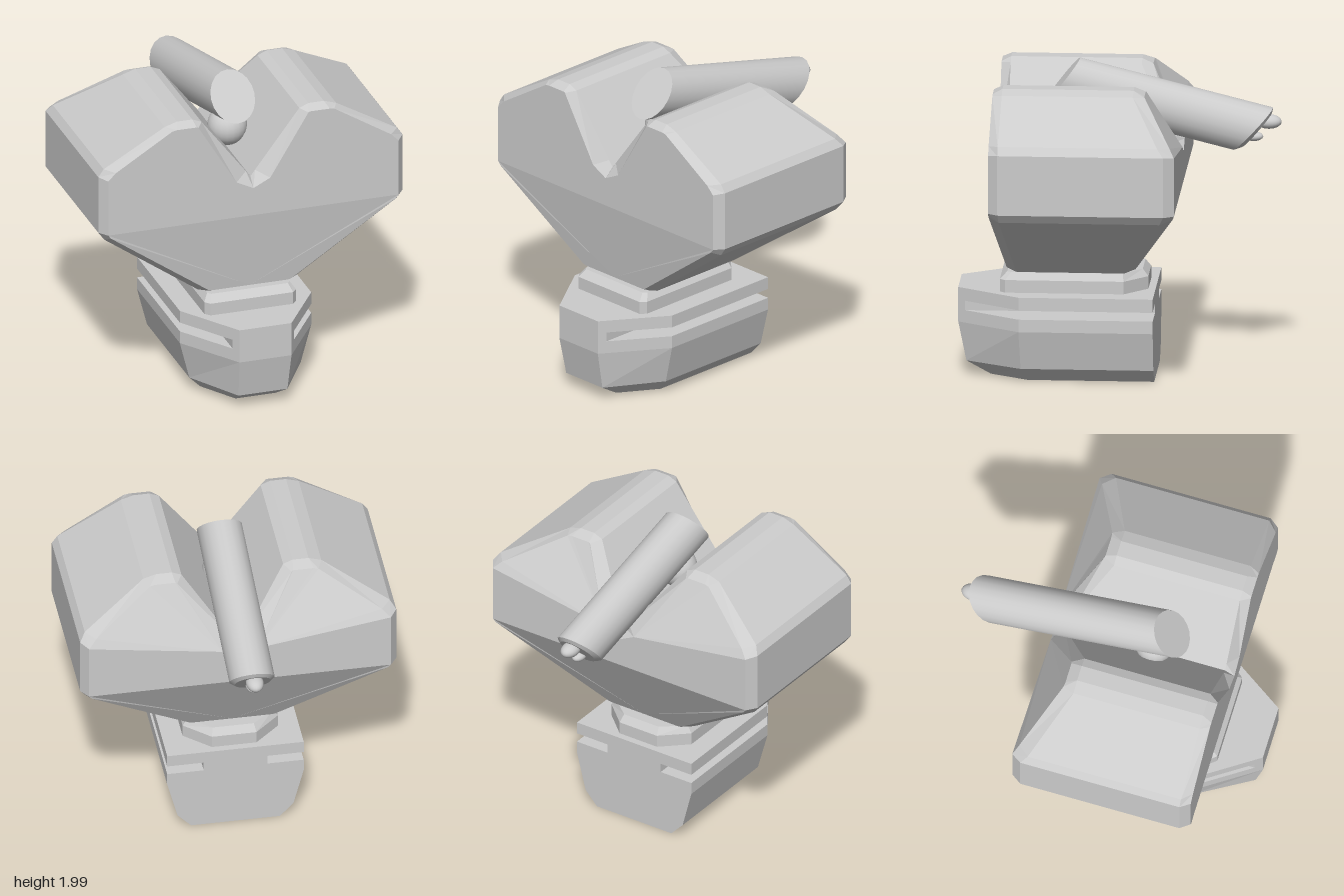
import * as THREE from 'three';
import { toCreasedNormals } from 'three/addons/utils/BufferGeometryUtils.js';

const material = new THREE.MeshStandardMaterial({ color: 0xcccccc });

function addMesh(parent, name, geometry) {
  const mesh = new THREE.Mesh(geometry, material);
  mesh.name = name;
  parent.add(mesh);
  return mesh;
}

// Flat-faced geometry from a list of triangles
function fromTriangles(tris) {
  const g = new THREE.BufferGeometry();
  g.setAttribute('position', new THREE.Float32BufferAttribute(tris.flat(2), 3));
  g.computeVertexNormals();
  return g;
}

// Skin a stack of convex rings (counter-clockwise seen from the last one) and cap both ends
function loft(rings) {
  const tris = [];
  const n = rings[0].length;
  for (let i = 0; i < rings.length - 1; i++) {
    for (let j = 0; j < n; j++) {
      const k = (j + 1) % n;
      const a = rings[i][j], b = rings[i][k], c = rings[i + 1][k], d = rings[i + 1][j];
      tris.push([a, b, c], [a, c, d]);
    }
  }
  const first = rings[0], last = rings[rings.length - 1];
  for (let j = 1; j < n - 1; j++) {
    tris.push([first[0], first[j + 1], first[j]], [last[0], last[j], last[j + 1]]);
  }
  return fromTriangles(tris);
}

// Symmetric horizontal ring at height y from right-hand [x, z] points listed front to back
function planRing(y, half) {
  const right = half.map(([x, z]) => [x, y, z]);
  const left = half.map(([x, z]) => [-x, y, z]).reverse();
  return [...right, ...left];
}

// Piecewise-linear lookup through [y, z] stops
function lookup(stops, y) {
  for (let i = 1; i < stops.length; i++) {
    const [y0, z0] = stops[i - 1], [y1, z1] = stops[i];
    if (y <= y1) return z0 + (z1 - z0) * Math.max(0, (y - y0) / (y1 - y0));
  }
  return stops[stops.length - 1][1];
}

// Notched head: bevelled front and back faces around a half outline, mirrored
function headGeometry() {
  const outer = [[0, 0.68], [0.25, 0.68], [0.32, 0.7], [0.955, 1.165], [0.995, 1.22], [0.995, 1.6],
    [0.96, 1.65], [0.56, 1.88], [0.48, 1.905], [0.38, 1.905], [0.32, 1.88], [0.03, 1.5], [0, 1.46]];
  // the last inset point lies on the centre line, at the fold of the faces
  const inset = [[0, 0.71], [0.25, 0.71], [0.27, 0.715], [0.93, 1.195], [0.95, 1.22], [0.95, 1.59],
    [0.9, 1.64], [0.53, 1.87], [0.5, 1.875], [0.37, 1.875], [0.36, 1.87], [0.11, 1.46], [0, 1.405], [0, 1.22]];
  const frontZ = [[0.7, 0.69], [1.2, 0.765]];
  const backZ = [[0.7, -0.1], [1.21, -0.39], [1.6, -0.39], [1.88, -0.175]];
  const place = (pts, stops, shift) => pts.map(([x, y]) => [x, y, lookup(stops, y) + shift]);
  const rings = [place(inset, backZ, 0), place(outer, backZ, 0.065),
    place(outer, frontZ, -0.06), place(inset, frontZ, 0)];

  const tris = [];
  for (let i = 0; i < 3; i++) {
    for (let j = 0; j < outer.length - 1; j++) {
      const a = rings[i][j], b = rings[i][j + 1], c = rings[i + 1][j + 1], d = rings[i + 1][j];
      tris.push([a, b, c], [a, c, d]);
    }
  }
  const cap = [[0, 1, 2], [0, 2, 3], [0, 3, 4], [0, 4, 13], [13, 4, 12], [4, 5, 12], [11, 12, 5]];
  for (let j = 5; j < 10; j++) cap.push([11, j, j + 1]);
  for (const [a, b, c] of cap) {
    tris.push([rings[3][a], rings[3][b], rings[3][c]], [rings[0][a], rings[0][c], rings[0][b]]);
  }
  const flip = ([x, y, z]) => [-x, y, z];
  const mirrored = tris.map(([a, b, c]) => [flip(a), flip(c), flip(b)]);
  return fromTriangles([...tris, ...mirrored]);
}

// Oval tube along z with slanted ends
function barrelGeometry() {
  const ring = (z, slant, size) => Array.from({ length: 20 }, (_, i) => {
    const t = (i / 20) * Math.PI * 2;
    const x = 0.142 * size * Math.cos(t), y = 0.16 * size * Math.sin(t);
    return [x, y, z - slant * y];
  });
  const g = loft([ring(-0.445, 0.5, 0.8), ring(-0.42, 0.55, 1), ring(0.8, 0.45, 1)]);
  return toCreasedNormals(g, 0.5);
}

function addBall(parent, name, position, scale) {
  const ball = addMesh(parent, name, new THREE.SphereGeometry(1, 20, 14));
  ball.position.set(...position);
  ball.scale.set(...scale);
  return ball;
}

export function createModel() {
  const model = new THREE.Group();
  model.name = 'model';
  const back = -0.225;

  // Base: tapered foot, narrow core between the side slots, and top plate
  const basePlan = [[0.17, 1], [0.43, 0.61], [0.43, back]];
  addMesh(model, 'foot', loft([
    planRing(0, [[0.13, 0.8], [0.28, 0.56], [0.28, back]]),
    planRing(0.09, [[0.16, 0.95], [0.365, 0.6], [0.365, back]]),
    planRing(0.34, basePlan),
    planRing(0.42, basePlan),
  ]));
  const corePlan = [[0.17, 1], [0.2, 0.955], [0.2, back]];
  addMesh(model, 'slotCore', loft([planRing(0.42, corePlan), planRing(0.48, corePlan)]));
  addMesh(model, 'basePlate', loft([planRing(0.48, basePlan), planRing(0.56, basePlan)]));

  // Neck with a bevelled top edge
  const neckPlan = [[0.27, 0.735], [0.3, 0.7], [0.3, -0.035], [0.14, -0.18]];
  const neckTop = [[0.25, 0.69], [0.27, 0.665], [0.27, -0.03], [0.13, -0.145]];
  addMesh(model, 'neck', loft([planRing(0.56, neckPlan), planRing(0.64, neckPlan), planRing(0.685, neckTop)]));

  addMesh(model, 'head', headGeometry());

  // Tilted barrel resting in the notch
  const barrel = new THREE.Group();
  barrel.name = 'barrelGroup';
  barrel.position.set(0, 1.66, -0.415);
  barrel.rotation.x = -0.245;
  model.add(barrel);
  addMesh(barrel, 'barrel', barrelGeometry());

  // Pivot under the barrel and knobs on its rear end
  addBall(model, 'pivotBall', [0, 1.61, 0.25], [0.125, 0.125, 0.125]);
  addBall(model, 'upperRearKnob', [0, 1.605, -0.92], [0.055, 0.045, 0.08]);
  addBall(model, 'lowerRearKnob', [0, 1.51, -0.825], [0.04, 0.03, 0.06]);

  return model;
}
